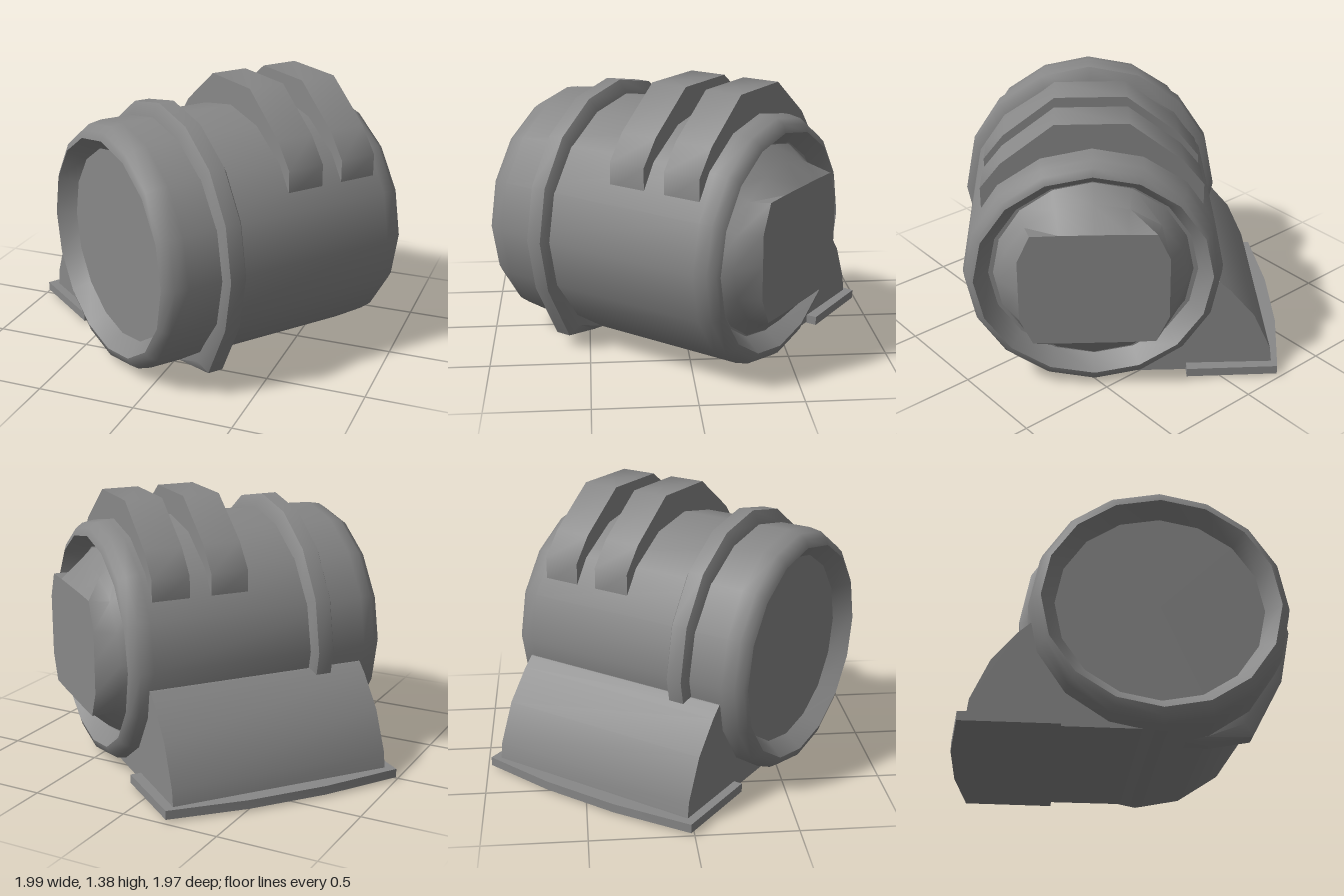
import * as THREE from 'three';
import { toCreasedNormals } from 'three/addons/utils/BufferGeometryUtils.js';

const SIDES = 16;
const CX = 0.145; // barrel axis, sideways offset
const CY = 0.63;  // barrel axis, height

const material = new THREE.MeshStandardMaterial({ color: 0x888888 });

function part(name, geometry, parent, crease = 0.6) {
  const mesh = new THREE.Mesh(toCreasedNormals(geometry, crease), material);
  mesh.name = name;
  parent.add(mesh);
  return mesh;
}

// Turned part lying along z; profile is [radius, z] from back to front
function turned(profile) {
  const pts = profile.map(([r, z]) => new THREE.Vector2(r, z));
  return new THREE.LatheGeometry(pts, SIDES).rotateX(Math.PI / 2);
}

// Apply a rule to every vertex
function reshape(geometry, rule) {
  const pos = geometry.attributes.position;
  const v = new THREE.Vector3();
  for (let i = 0; i < pos.count; i++) {
    rule(v.fromBufferAttribute(pos, i));
    pos.setXYZ(i, v.x, v.y, v.z);
  }
  return geometry;
}

// Flat outline extruded from z0 to z1
function prism(points, z0, z1) {
  const shape = new THREE.Shape(points.map(([x, y]) => new THREE.Vector2(x, y)));
  return new THREE.ExtrudeGeometry(shape, { depth: z1 - z0, bevelEnabled: false }).translate(0, 0, z0);
}

export function createModel() {
  const model = new THREE.Group();
  model.name = 'barrelUnit';
  model.rotation.y = THREE.MathUtils.degToRad(-38);

  // Barrel with rounded lips and a slightly wide recessed disc at each end
  const barrel = turned([
    [0, -0.6], [0.485, -0.6], [0.55, -0.685], [0.59, -0.672], [0.615, -0.635], [0.627, -0.57],
    [0.627, 0.57], [0.615, 0.635], [0.59, 0.672], [0.55, 0.685], [0.485, 0.6], [0, 0.6],
  ]);
  reshape(barrel, (v) => {
    v.x *= Math.hypot(v.x, v.y) < 0.56 ? 1.05 : 1.01;
  });
  part('barrel', barrel, model, 0.85).position.set(CX, CY, 0);

  // Back boss: round base blending into a squared-off flat end
  const boss = turned([[0, -0.78], [0.42, -0.78], [0.455, -0.68], [0.49, -0.59]]);
  reshape(boss, (v) => {
    if (v.z < -0.75) {
      v.x = THREE.MathUtils.clamp(v.x, -0.36, 0.36);
      v.y = THREE.MathUtils.clamp(v.y, -0.3, 0.3);
    } else if (v.z < -0.65) {
      v.y *= 0.9;
    }
  });
  part('backBoss', boss, model, 0.7).position.set(CX, CY, 0);

  // Chamfered collar, squared at the lower outer corner and flat underneath
  const collar = turned([[0.55, 0.25], [0.63, 0.25], [0.695, 0.29], [0.695, 0.37], [0.63, 0.405], [0.55, 0.405]]);
  reshape(collar, (v) => {
    v.x *= 0.97;
    if (v.x > 0.3 && v.y < -0.4) {
      v.x *= 0.98;
      v.y *= 1.14;
    }
    v.y = Math.max(v.y, -0.6);
  });
  part('collar', collar, model).position.set(CX, CY, 0);

  // Two fins saddling the top, smooth over their outer faces
  const half = [[0.53, 0.925], [0.53, 1.06], [0.43, 1.185], [0.175, 1.38]];
  const finOutline = [...half, ...half.map(([x, y]) => [-x, y]).reverse()];
  for (const z of [-0.54, -0.232]) {
    part('fin', prism(finOutline, z, z + 0.195), model, 1.1).position.x = CX;
  }

  // Side support flaring from the barrel down to the foot
  part('support', prism([
    [0.1, 0.02], [0.1, 0.3], [-0.3, 0.55], [-0.475, 0.54], [-0.53, 0.49],
    [-0.655, 0.34], [-0.745, 0.14], [-0.76, 0.02],
  ], -0.59, 0.555), model);

  // Foot plate with a bowed outer edge
  const foot = prism([
    [-0.795, -0.6], [-0.835, -0.18], [-0.83, 0.23], [-0.78, 0.637], [-0.32, 0.645], [-0.32, -0.6],
  ].reverse(), 0, 0.045).rotateX(-Math.PI / 2).translate(0, 0.015, 0);
  part('footPlate', foot, model);

  const root = new THREE.Group();
  root.add(model);
  return root;
}
